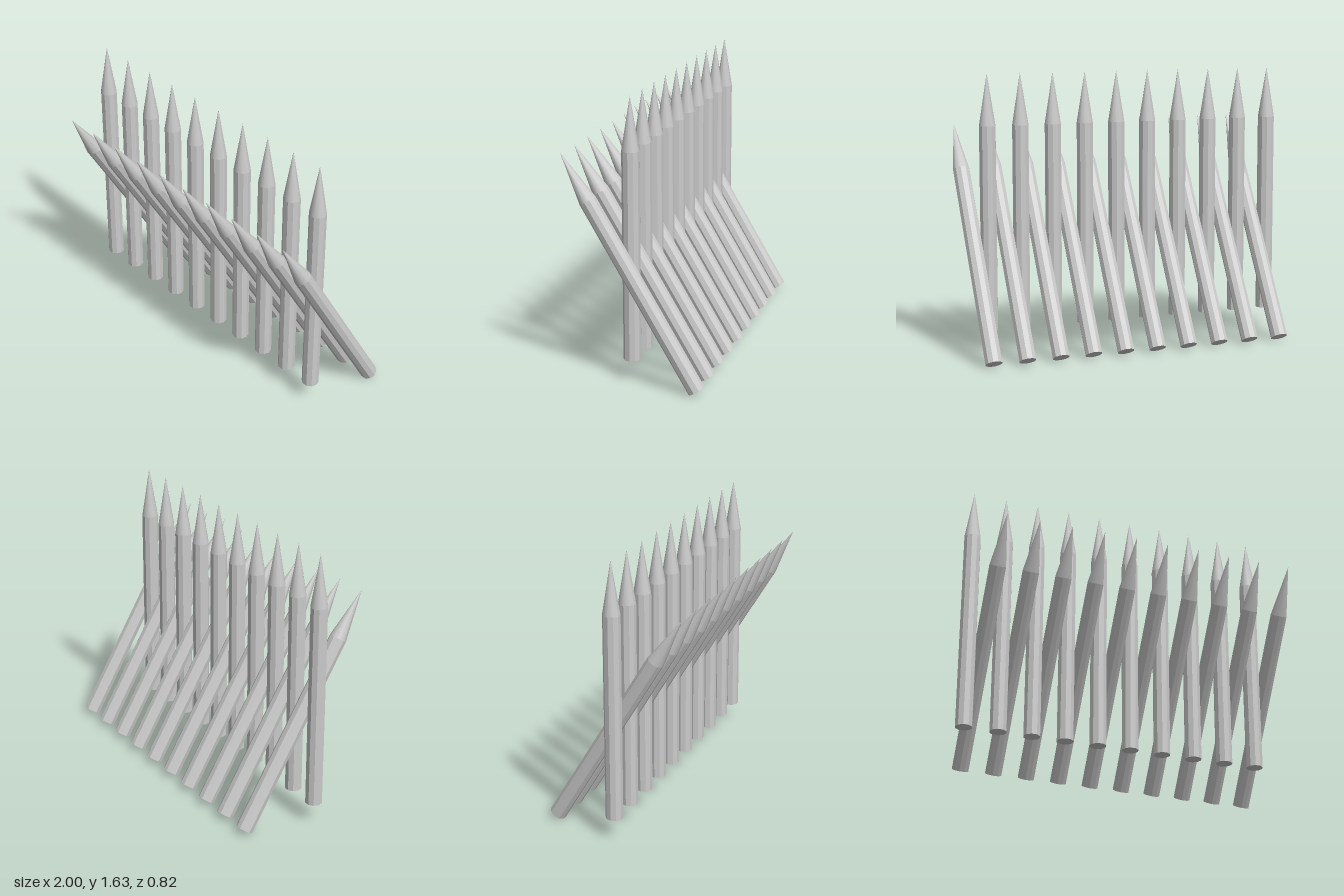
import * as THREE from 'three';

const RADIUS = 0.05, SIDES = 10, SHAFT = 1.205, TIP = 0.305, COUNT = 10;

export function createModel() {
  const model = new THREE.Group();
  model.name = 'stakeBarricade';

  const flat = new THREE.MeshStandardMaterial({ color: 0xcccccc, flatShading: true });
  const smooth = new THREE.MeshStandardMaterial({ color: 0xcccccc });

  // Shared geometry: base at the origin, corners of the decagon on the x axis
  const shaftGeometry = new THREE.CylinderGeometry(RADIUS, RADIUS, SHAFT, SIDES)
    .rotateY(Math.PI / 2).translate(0, SHAFT / 2, 0);
  const tipGeometry = new THREE.ConeGeometry(RADIUS, TIP, SIDES, 1, true)
    .rotateY(Math.PI / 2).translate(0, SHAFT + TIP / 2, 0);

  // One sharpened stake: faceted shaft and pointed tip
  function addStake(name, x, y, z, lean) {
    const stake = new THREE.Group();
    stake.name = name;
    const shaft = new THREE.Mesh(shaftGeometry, flat);
    shaft.name = 'shaft';
    const tip = new THREE.Mesh(tipGeometry, smooth);
    tip.name = 'tip';
    stake.add(shaft, tip);
    stake.position.set(x, y, z);
    stake.rotation.x = lean;
    model.add(stake);
  }

  // Alternating upright and forward-leaning stakes
  for (let i = 0; i < COUNT; i++) {
    addStake('uprightStake', -0.95 + i * 0.2, 0.125, 0.04, 0);
    addStake('leaningStake', -0.85 + i * 0.2, 0.025, -0.368, THREE.MathUtils.degToRad(31));
  }
  return model;
}
